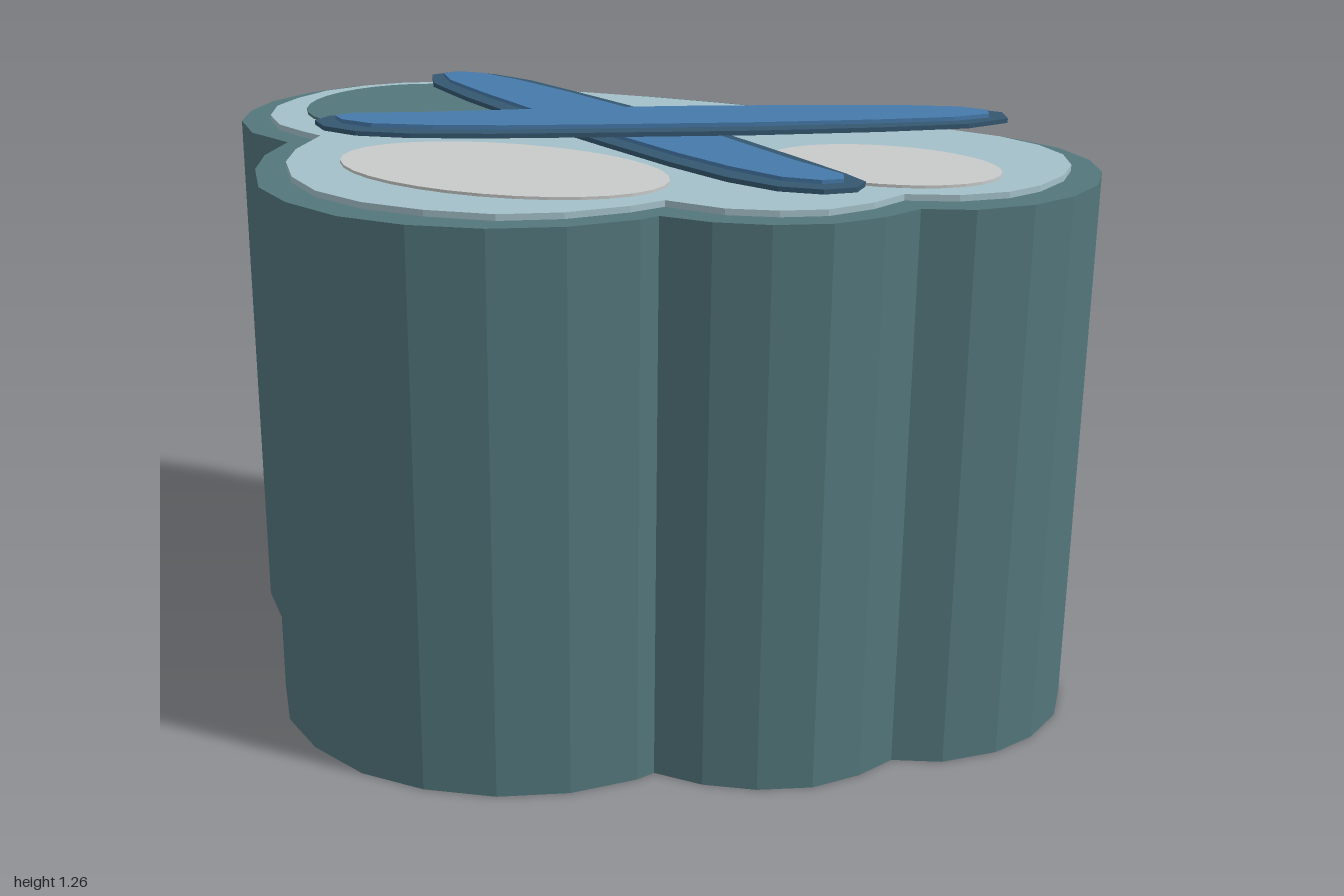
import * as THREE from 'three';

const mat = (name, color) => Object.assign(new THREE.MeshStandardMaterial({ color }), { name });

// Upright slab between y0 and y1 from a plan outline of [x, z] corners
function slab(name, points, y0, y1, material) {
  const shape = new THREE.Shape(points.map(([x, z]) => new THREE.Vector2(x, -z)));
  const geo = new THREE.ExtrudeGeometry(shape, { depth: y1 - y0, bevelEnabled: false });
  geo.rotateX(-Math.PI / 2).translate(0, y0, 0);
  const mesh = new THREE.Mesh(geo, material);
  mesh.name = name;
  return mesh;
}

// Plan outline of an oval
function oval(cx, cz, rx, rz, n = 32) {
  return Array.from({ length: n }, (_, i) => {
    const a = (i / n) * Math.PI * 2;
    return [cx + rx * Math.cos(a), cz + rz * Math.sin(a)];
  });
}

export function createModel() {
  const group = new THREE.Group();
  const teal = mat('teal', 0x53777c);
  const pale = mat('pale blue', 0xa4c0c9);
  const grey = mat('light grey', 0xc8c9c9);
  const blue = mat('blue', 0x467aab);
  const navy = mat('dark blue', 0x345770);

  // Lobed column
  const outer = [
    [-1, -0.22], [-0.98, -0.35], [-0.93, -0.46], [-0.84, -0.56], [-0.73, -0.61], [-0.6, -0.63], [-0.48, -0.62],
    [-0.35, -0.65], [-0.18, -0.67], [0, -0.675], [0.17, -0.667], [0.34, -0.645], [0.52, -0.605],
    [0.62, -0.6], [0.73, -0.58], [0.84, -0.53], [0.93, -0.44], [0.98, -0.34], [1, -0.22],
    [0.98, -0.1], [0.93, 0], [0.84, 0.09], [0.74, 0.13],
    [0.7, 0.22], [0.63, 0.31], [0.53, 0.37], [0.42, 0.4], [0.31, 0.4],
    [0.29, 0.44], [0.19, 0.55], [0.06, 0.63], [-0.09, 0.67], [-0.24, 0.67], [-0.39, 0.62],
    [-0.51, 0.54], [-0.61, 0.41], [-0.67, 0.29], [-0.7, 0.16],
    [-0.83, 0.11], [-0.93, 0.01], [-0.98, -0.1],
  ];
  group.add(slab('column', outer, 0, 1.2, teal));

  // Inset top panel
  const inner = [
    [-0.93, -0.22], [-0.92, -0.33], [-0.87, -0.43], [-0.8, -0.51], [-0.71, -0.56], [-0.6, -0.575], [-0.48, -0.565],
    [-0.34, -0.59], [-0.17, -0.605], [0, -0.61], [0.17, -0.605], [0.32, -0.585], [0.5, -0.55],
    [0.6, -0.55], [0.71, -0.53], [0.81, -0.48], [0.88, -0.41], [0.92, -0.32], [0.93, -0.22],
    [0.91, -0.11], [0.87, -0.03], [0.79, 0.04], [0.69, 0.08],
    [0.66, 0.17], [0.6, 0.26], [0.52, 0.31], [0.42, 0.34], [0.29, 0.33],
    [0.25, 0.4], [0.16, 0.5], [0.05, 0.57], [-0.09, 0.6], [-0.23, 0.6], [-0.36, 0.56],
    [-0.47, 0.48], [-0.56, 0.37], [-0.61, 0.26], [-0.64, 0.12],
    [-0.7, 0.1], [-0.79, 0.06], [-0.87, -0.02], [-0.92, -0.12],
  ];
  group.add(slab('topPanel', inner, 1.2, 1.213, pale));

  // Oval patches on the panel
  group.add(slab('darkPatch', oval(-0.625, -0.25, 0.24, 0.265), 1.213, 1.219, teal));
  group.add(slab('frontPatch', oval(-0.115, 0.245, 0.365, 0.22), 1.213, 1.219, grey));
  group.add(slab('sidePatch', oval(0.575, -0.13, 0.247, 0.177), 1.213, 1.219, grey));

  // Two crossed blades, each a dark base with a blue inlay
  const bladeBase = [
    [0.72, -0.55], [0.69, -0.612], [0.585, -0.625], [0.46, -0.59], [0.3, -0.51], [0, -0.355], [-0.25, -0.195],
    [-0.45, -0.06], [-0.58, 0.03], [-0.64, 0.08], [-0.642, 0.135], [-0.59, 0.18], [-0.5, 0.195], [-0.38, 0.165],
    [-0.22, 0.09], [-0.02, -0.02], [0.27, -0.185], [0.5, -0.335], [0.66, -0.455],
  ];
  const bladeInlay = [
    [0.68, -0.54], [0.665, -0.58], [0.6, -0.59], [0.48, -0.55], [0.3, -0.465], [0.02, -0.315], [-0.22, -0.165],
    [-0.45, -0.01], [-0.59, 0.07], [-0.605, 0.11], [-0.57, 0.138], [-0.49, 0.147], [-0.36, 0.105],
    [-0.22, 0.04], [-0.03, -0.065], [0.25, -0.225], [0.47, -0.365], [0.62, -0.47],
  ];
  const flip = (points) => points.map(([x, z]) => [-x - 0.03, z]);
  group.add(slab('lowerBladeBase', flip(bladeBase), 1.22, 1.23, navy));
  group.add(slab('lowerBladeInlay', flip(bladeInlay), 1.23, 1.238, blue));
  group.add(slab('upperBladeBase', bladeBase, 1.24, 1.25, navy));
  group.add(slab('upperBladeInlay', bladeInlay, 1.25, 1.259, blue));
  return group;
}
